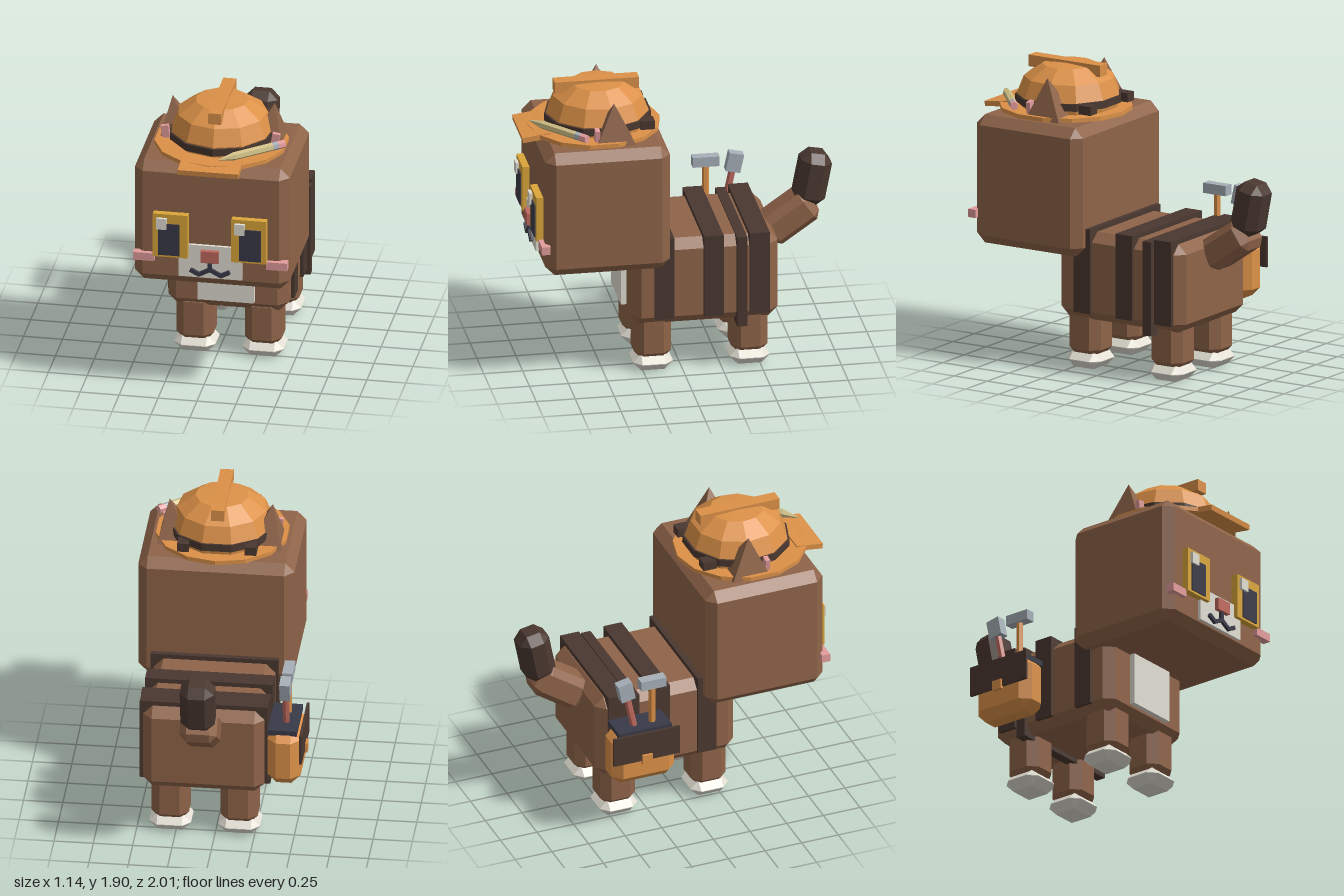
import * as THREE from 'three';
import { ConvexGeometry } from 'three/addons/geometries/ConvexGeometry.js';

const material = (name, color) => {
  const m = new THREE.MeshStandardMaterial({ color, flatShading: true });
  m.name = name;
  return m;
};

// Box with chamfered edges and corners
function chamferBox(w, h, d, c) {
  const pts = [];
  for (const x of [-1, 1]) for (const y of [-1, 1]) for (const z of [-1, 1]) {
    const a = w / 2, b = h / 2, e = d / 2;
    pts.push(new THREE.Vector3(x * a, y * (b - c), z * (e - c)));
    pts.push(new THREE.Vector3(x * (a - c), y * b, z * (e - c)));
    pts.push(new THREE.Vector3(x * (a - c), y * (b - c), z * e));
  }
  return new ConvexGeometry(pts);
}

export function createModel() {
  const root = new THREE.Group();
  root.name = 'builderCat';
  const CX = 0.07; // symmetry plane of the animal

  const brown = material('brown fur', 0x8f6449);
  const dark = material('dark brown', 0x4a3830);
  const white = material('off white', 0xe2ded3);
  const orange = material('orange', 0xdc9148);
  const gold = material('gold', 0xdba63a);
  const navy = material('dark navy', 0x393a48);
  const pink = material('pink', 0xe39c9c);
  const red = material('red', 0xc06a5e);
  const grey = material('steel grey', 0xa6afb8);
  const beige = material('pencil yellow', 0xcfbe85);

  const add = (name, geo, mat, x = 0, y = 0, z = 0, parent = root) => {
    const m = new THREE.Mesh(geo, mat);
    m.name = name;
    m.position.set(x, y, z);
    parent.add(m);
    return m;
  };
  // Box given by its extents; c > 0 chamfers it
  const box = (name, mat, [x0, x1], [y0, y1], [z0, z1], c = 0) => {
    const s = [x1 - x0, y1 - y0, z1 - z0];
    const geo = c ? chamferBox(...s, c) : new THREE.BoxGeometry(...s);
    return add(name, geo, mat, (x0 + x1) / 2, (y0 + y1) / 2, (z0 + z1) / 2);
  };

  // Head and body
  box('head', brown, [-0.427, 0.567], [0.755, 1.59], [0.1, 0.9], 0.06);
  box('body', brown, [-0.316, 0.456], [0.333, 0.907], [-0.61, 0.335], 0.06);
  box('bellyPatch', white, [-0.11, 0.25], [0.41, 0.8], [0.3, 0.37]);
  for (const z of [[0.065, 0.19], [-0.25, -0.125], [-0.545, -0.417]])
    box('bodyStripe', dark, [-0.333, 0.478], [0.385, 0.936], z);
  box('bagStrap', dark, [-0.335, 0.485], [0.305, 0.917], [-0.4, -0.335]);

  // Legs and paws
  for (const side of [-1, 1]) for (const z of [0.185, -0.435]) {
    const x = CX + side * 0.219;
    add('leg', chamferBox(0.237, 0.34, 0.237, 0.055), brown, x, 0.24, z);
    add('paw', chamferBox(0.266, 0.11, 0.256, 0.053), white, x, 0.055, z);
  }

  // Tail
  add('tailBase', chamferBox(0.237, 0.36, 0.215, 0.045), brown, CX, 0.872, -0.735).rotation.x = -0.963;
  add('tailTip', chamferBox(0.217, 0.35, 0.2, 0.055), dark, CX, 1.125, -0.885).rotation.x = -0.19;

  // Ears with pink inner plates
  for (const s of [-1, 1]) {
    const X = (x) => CX + s * x;
    const corners = [[0.4, 1.57, 0.57], [0.4, 1.57, 0.3], [0.16, 1.57, 0.3], [0.16, 1.57, 0.57], [0.328, 1.856, 0.44]];
    add('ear', new ConvexGeometry(corners.map(([x, y, z]) => new THREE.Vector3(X(x), y, z))), brown);
    add('innerEar', new THREE.BoxGeometry(0.05, 0.085, 0.03), pink, X(0.353), 1.655, 0.552).rotation.z = -s * 0.15;
  }

  // Eyes
  for (const s of [-1, 1]) {
    const x = CX + s * 0.252;
    box('eyeFrame', gold, [x - 0.112, x + 0.112], [0.963, 1.26], [0.88, 0.945]);
    const p = CX + s * 0.261;
    box('pupil', navy, [p - 0.069, p + 0.069], [0.978, 1.195], [0.92, 0.953]);
    const h = s < 0 ? -0.236 : 0.265;
    box('eyeHighlight', white, [h - 0.033, h + 0.033], [1.16, 1.235], [0.93, 0.965]);
    const k = CX + s * 0.427;
    box('cheek', pink, [k - 0.068, k + 0.068], [0.92, 0.973], [0.875, 0.93]);
  }

  // Muzzle, nose and mouth
  box('muzzle', white, [-0.133, 0.273], [0.827, 1.05], [0.88, 0.92]);
  box('nose', red, [0.013, 0.128], [0.943, 1.023], [0.9, 0.95]);
  box('mouthLine', navy, [0.057, 0.083], [0.878, 0.945], [0.9, 0.938]);
  for (const s of [-1, 1]) {
    const path = [[0, 0.89], [0.07, 0.853], [0.122, 0.88]];
    for (let i = 0; i < 2; i++) {
      const [ax, ay] = path[i], [bx, by] = path[i + 1];
      const seg = add('mouthCurve', new THREE.BoxGeometry(Math.hypot(bx - ax, by - ay) + 0.01, 0.026, 0.036),
        navy, CX + s * (ax + bx) / 2, (ay + by) / 2, 0.92 + i * 0.002);
      seg.rotation.z = s * Math.atan2(by - ay, bx - ax);
    }
  }

  // Hard hat
  const profile = [[0.315, 1.59], [0.33, 1.69], [0.287, 1.8], [0.17, 1.88], [0, 1.893]];
  add('hatDome', new THREE.LatheGeometry(profile.map(([r, y]) => new THREE.Vector2(r, y)), 11), orange, CX, 0, 0.49);
  add('hatBand', new THREE.CylinderGeometry(0.342, 0.342, 0.048, 11), dark, CX, 1.665, 0.49).rotation.x = 0.02;
  add('hatBrim', new THREE.CylinderGeometry(0.425, 0.425, 0.028, 14), orange, CX, 1.603, 0.515);
  box('hatRidge', orange, [0.029, 0.113], [1.83, 1.905], [0.23, 0.77]);
  add('hatBill', new THREE.BoxGeometry(0.388, 0.035, 0.18), orange, CX, 1.598, 0.912).rotation.x = 0.13;
  for (const s of [-1, 1]) {
    const x = CX + s * 0.215;
    box('bandClip', dark, [x - 0.037, x + 0.037], [1.63, 1.688], [0.165, 0.255]);
  }

  // Pencil tucked against the hat, built along +y and laid down
  const pencil = new THREE.Group();
  pencil.name = 'pencil';
  const R = 0.027;
  const rod = (name, mat, y0, y1, r0 = R, r1 = R) =>
    add(name, new THREE.CylinderGeometry(r1, r0, y1 - y0, 6), mat, 0, (y0 + y1) / 2, 0, pencil);
  rod('pencilTip', beige, 0, 0.11, 0.002, R);
  rod('pencilBody', beige, 0.11, 0.39);
  rod('pencilFerrule', grey, 0.39, 0.43);
  rod('pencilEraser', pink, 0.43, 0.48);
  pencil.position.set(0.127, 1.666, 0.94);
  pencil.quaternion.setFromUnitVectors(new THREE.Vector3(0, 1, 0), new THREE.Vector3(0.363, 0, -0.31).normalize());
  root.add(pencil);

  // Tool bag
  box('toolBag', orange, [-0.543, -0.33], [0.393, 0.765], [-0.59, -0.16], 0.06);
  box('bagOpening', navy, [-0.52, -0.335], [0.74, 0.776], [-0.55, -0.19]);
  box('bagFlap', dark, [-0.558, -0.54], [0.57, 0.768], [-0.6, -0.15]);
  box('bagBuckle', orange, [-0.573, -0.55], [0.55, 0.615], [-0.41, -0.34]);

  // Hammers
  for (const [handleMat, z, y, tilt, d, h] of [[orange, -0.292, 1.063, 0, 0.172, 0.066], [red, -0.476, 1.043, 0.21, 0.095, 0.125]]) {
    const hammer = new THREE.Group();
    hammer.name = 'hammer';
    hammer.position.set(-0.44, y, z);
    hammer.rotation.x = -tilt;
    add('hammerHead', new THREE.BoxGeometry(0.066, h, d), grey, 0, 0, 0, hammer);
    add('hammerHandle', new THREE.CylinderGeometry(0.023, 0.023, 0.33, 6), handleMat, 0, -0.165, 0, hammer);
    root.add(hammer);
  }
  return root;
}
